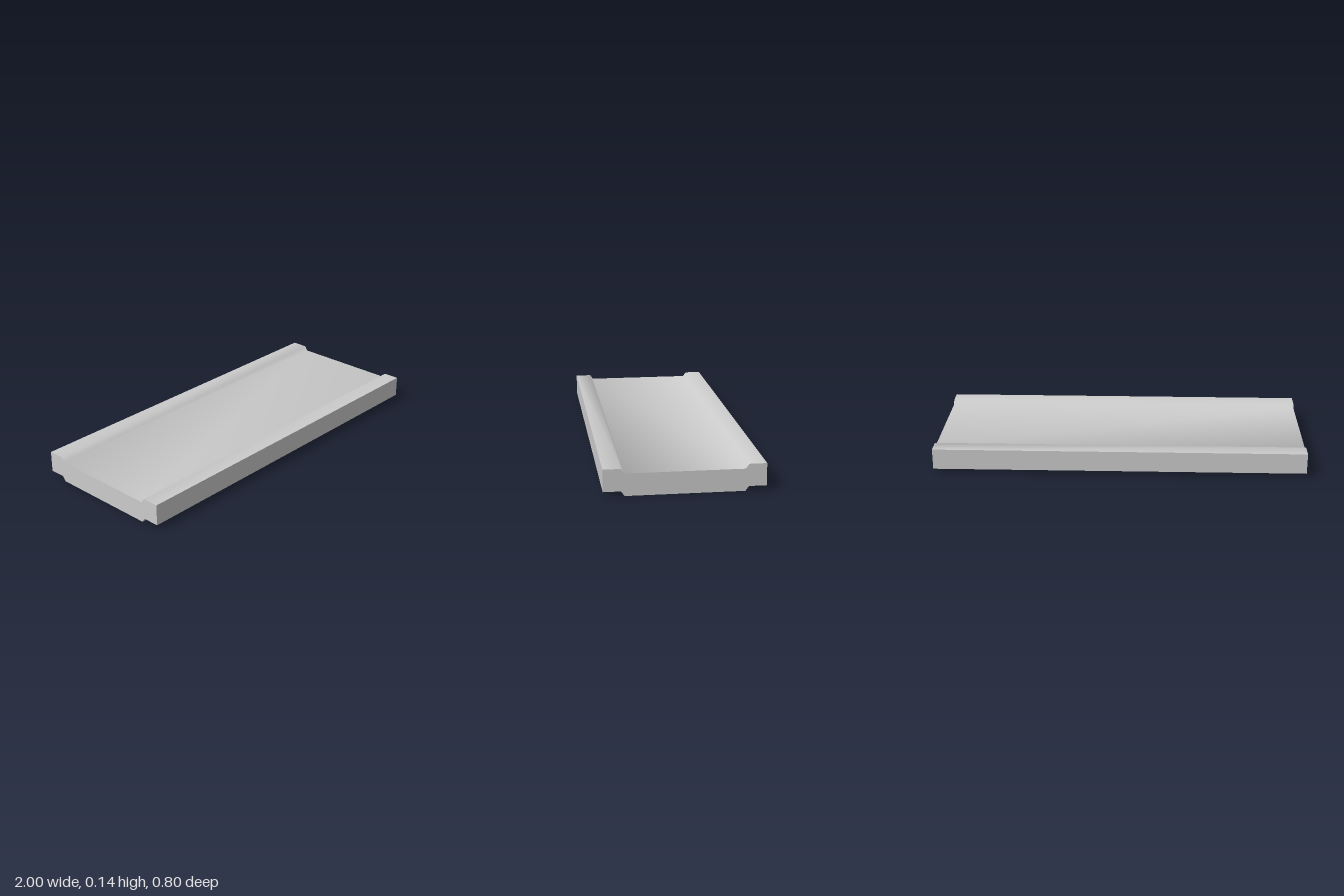
import * as THREE from 'three';
import { toCreasedNormals } from 'three/addons/utils/BufferGeometryUtils.js';

export function createModel() {
  const group = new THREE.Group();
  group.name = 'plank';

  const length = 2;
  const rise = 0.024; // height step between panel and edge rails
  const thickness = 0.113;

  // Half of the underside, from the panel out to the rail edge: [z, y]
  const half = [[0.295, 0], [0.312, rise], [0.4, rise]];
  const mirrored = half.map(([z, y]) => [-z, y]).reverse();
  const bottom = [...mirrored, ...half];
  const top = bottom.map(([z, y]) => [z, y + thickness]).reverse();

  // Constant cross-section swept along x
  const profile = new THREE.Shape([...bottom, ...top].map(([z, y]) => new THREE.Vector2(z, y)));
  const geometry = new THREE.ExtrudeGeometry(profile, { depth: length, bevelEnabled: false });
  geometry.translate(0, 0, -length / 2);
  geometry.rotateY(Math.PI / 2);

  // Soft shading over the sloped steps, sharp outer edges
  const board = new THREE.Mesh(
    toCreasedNormals(geometry, THREE.MathUtils.degToRad(65)),
    new THREE.MeshStandardMaterial({ color: 0xcccccc })
  );
  board.name = 'board';
  group.add(board);
  return group;
}
